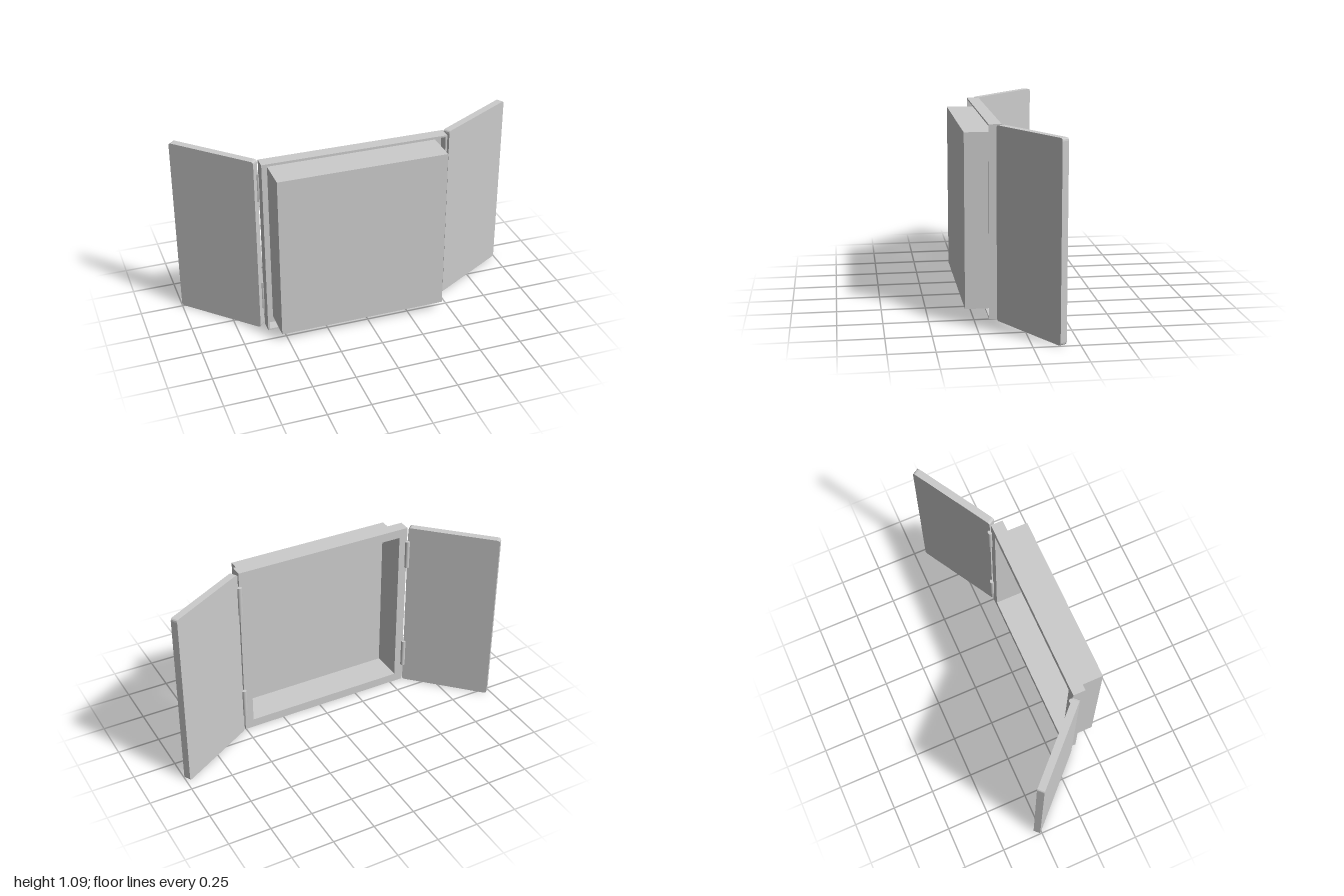
import * as THREE from 'three';

const H = 1.087;                     // overall height
const CX = -0.041;                   // centre of the frame across x
const material = new THREE.MeshStandardMaterial({ color: 0xcccccc, flatShading: true });
const smooth = new THREE.MeshStandardMaterial({ color: 0xcccccc });

function add(parent, name, geometry, mat = material) {
  const mesh = new THREE.Mesh(geometry, mat);
  mesh.name = name;
  parent.add(mesh);
  return mesh;
}

// Rectangular ring centred on the frame axis, extruded from z0 to z1
function ring(outer, inner, z0, z1) {
  const square = (C, s) => new C([[-1, -1], [1, -1], [1, 1], [-1, 1]]
    .map(([x, y]) => new THREE.Vector2(CX + x * s / 2, H / 2 + y * s / 2)));
  const shape = square(THREE.Shape, outer);
  shape.holes.push(square(THREE.Path, inner));
  return new THREE.ExtrudeGeometry(shape, { depth: z1 - z0, bevelEnabled: false }).translate(0, 0, z0);
}

// Door slab with softened corners; its hinge edge lies on x = 0
function doorGeometry(width, height, depth, r) {
  const s = new THREE.Shape();
  s.moveTo(r, 0);
  s.lineTo(width - r, 0);
  s.quadraticCurveTo(width, 0, width, r);
  s.lineTo(width, height - r);
  s.quadraticCurveTo(width, height, width - r, height);
  s.lineTo(r, height);
  s.quadraticCurveTo(0, height, 0, height - r);
  s.lineTo(0, r);
  s.quadraticCurveTo(0, 0, r, 0);
  return new THREE.ExtrudeGeometry(s, { depth, bevelEnabled: false, curveSegments: 3 });
}

export function createModel() {
  const model = new THREE.Group();
  model.name = 'recessedCabinet';

  // Sheet frame: flat flange with a thin rim folded forward
  add(model, 'flange', ring(H, 0.981, 0.094, 0.103));
  add(model, 'rim', ring(H, H - 0.02, 0.103, 0.165));

  // Recessed box, open at the back
  add(model, 'boxWalls', ring(0.991, 0.981, 0.103, 0.286));
  add(model, 'boxPanel', new THREE.BoxGeometry(0.991, 0.991, 0.008).translate(CX, H / 2, 0.29));

  // Two doors swung open by different angles, each on a pair of hinges
  const doors = [
    { name: 'rightDoor', x: -0.588, angle: Math.PI * 0.75, z: -0.042, hingeX: -0.585 },
    { name: 'leftDoor', x: 0.511, angle: Math.PI / 6, z: 0, hingeX: 0.503 },
  ];
  for (const d of doors) {
    const door = add(model, d.name, doorGeometry(0.54, H, 0.042, 0.016).translate(0, 0, d.z));
    door.position.set(d.x, 0, 0.09);
    door.rotation.y = d.angle;
    for (const y of [0.203, 0.912]) {
      const hinge = add(model, d.name + 'Hinge', new THREE.CylinderGeometry(0.014, 0.014, 0.175, 16), smooth);
      hinge.position.set(d.hingeX, y, 0.088);
    }
  }
  return model;
}
